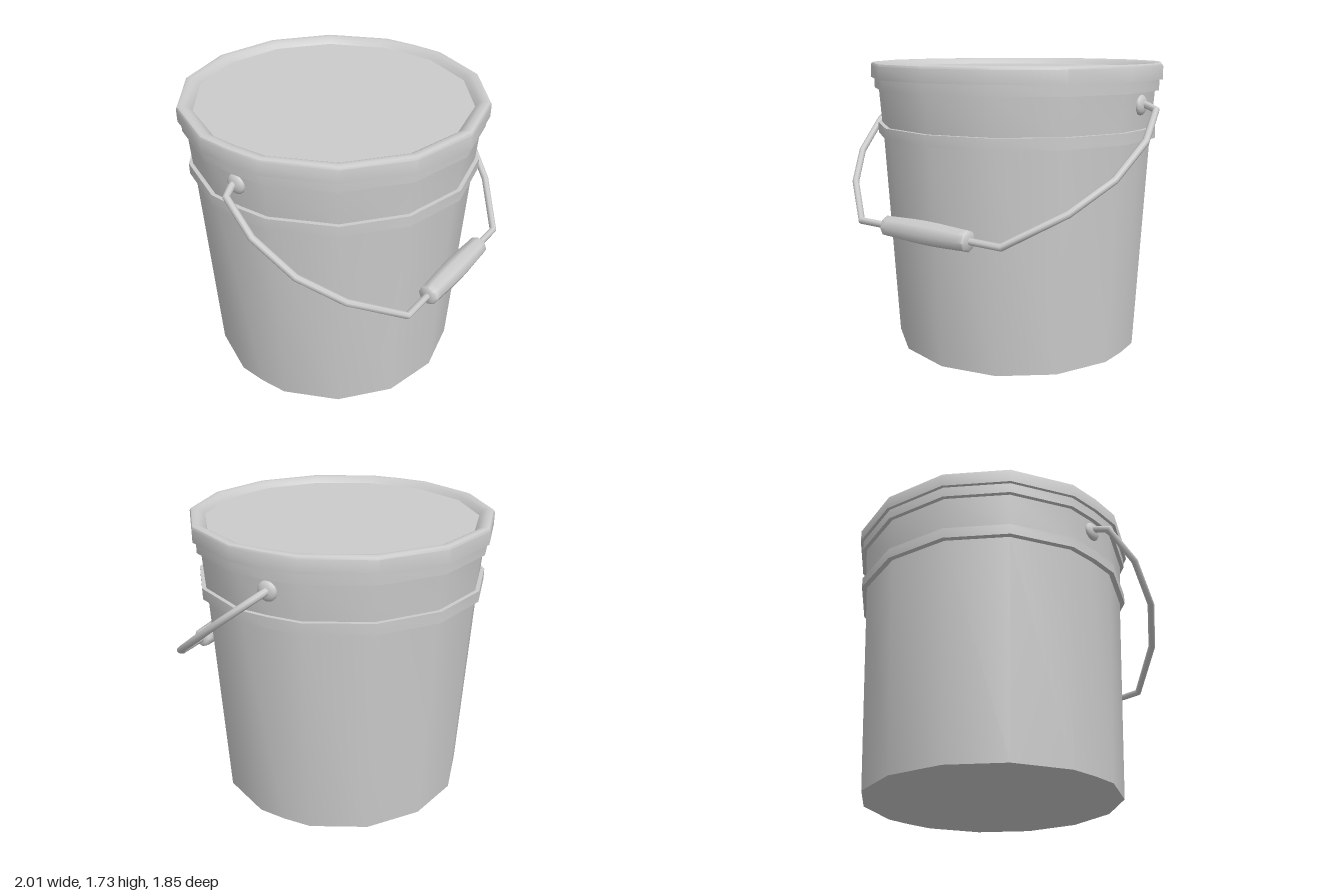
import * as THREE from 'three';
import { toCreasedNormals } from 'three/addons/utils/BufferGeometryUtils.js';

const CENTER_Z = -0.025;

function material() {
  return new THREE.MeshStandardMaterial({ color: 0xcccccc });
}

function add(parent, name, geometry) {
  const mesh = new THREE.Mesh(geometry, material());
  mesh.name = name;
  parent.add(mesh);
  return mesh;
}

// Lathe with 14 even steps, plus one extra corner at each side (+x and -x)
function bucketLathe(profile) {
  const step = (Math.PI * 2) / 14;
  const quarter = [0, step, step * 2, step * 3, Math.PI / 2];
  const angles = [];
  for (let i = 0; i <= 16; i++) {
    const k = i % 8;
    const a = k <= 4 ? quarter[k] : Math.PI - quarter[8 - k];
    angles.push(a + Math.floor(i / 8) * Math.PI);
  }
  const geo = new THREE.LatheGeometry(profile.map(([r, y]) => new THREE.Vector2(r, y)), 16);
  const pos = geo.attributes.position;
  const n = profile.length;
  for (let v = 0; v < pos.count; v++) {
    const i = Math.floor(v / n);
    const [r, y] = profile[v % n];
    const s = i % 8 === 4 ? 0.987 : 1;
    pos.setXYZ(v, Math.sin(angles[i]) * r * s, y, Math.cos(angles[i]) * r);
  }
  return toCreasedNormals(geo, 0.6);
}

export function createModel() {
  const model = new THREE.Group();
  model.name = 'bucket';

  // Tapered body with a raised band
  const body = bucketLathe([
    [0, 0], [0.772, 0], [0.836, 1.3], [0.867, 1.3], [0.867, 1.365],
    [0.843, 1.365], [0.857, 1.58],
  ]);
  add(model, 'body', body).position.z = CENTER_Z;

  // Lid with a stepped skirt, rounded rim and sunken top
  const lid = bucketLathe([
    [0.85, 1.577], [0.881, 1.577], [0.881, 1.64], [0.9, 1.64], [0.9, 1.715],
    [0.894, 1.727], [0.88, 1.733], [0.855, 1.731], [0.83, 1.718], [0.81, 1.695], [0, 1.695],
  ]);
  add(model, 'lid', lid).position.z = CENTER_Z;

  // Domed pivots on both sides
  for (const side of [-1, 1]) {
    const pivot = add(model, side > 0 ? 'leftPivot' : 'rightPivot', new THREE.SphereGeometry(0.058, 16, 10));
    pivot.scale.x = 0.5;
    pivot.position.set(side * 0.84, 1.505, CENTER_Z);
  }

  // Bent wire handle, with one tube ring at each bend
  const half = [
    [0.83, 1.515, -0.035], [0.88, 1.505, -0.025], [0.945, 1.485, 0.0], [0.982, 1.335, 0.195],
    [0.925, 1.155, 0.425], [0.775, 0.995, 0.635], [0.505, 0.825, 0.85],
  ].map((p) => new THREE.Vector3(...p));
  const mirrored = half.map((p) => new THREE.Vector3(-p.x, p.y, p.z)).reverse();
  const path = new THREE.CatmullRomCurve3([...half, ...mirrored]);
  path.getPointAt = path.getPoint;
  path.getTangentAt = path.getTangent;
  add(model, 'wireHandle', new THREE.TubeGeometry(path, path.points.length - 1, 0.021, 8));

  // Barrel-shaped grip
  const gripProfile = [
    [0, -0.305], [0.046, -0.305], [0.06, -0.293], [0.061, -0.25], [0.068, -0.1], [0.07, 0],
    [0.068, 0.1], [0.061, 0.25], [0.06, 0.293], [0.046, 0.305], [0, 0.305],
  ].map(([r, y]) => new THREE.Vector2(r, y));
  const grip = add(model, 'grip', toCreasedNormals(new THREE.LatheGeometry(gripProfile, 8), 0.82));
  grip.rotation.z = -Math.PI / 2;
  grip.position.set(0, 0.825, 0.852);

  return model;
}
